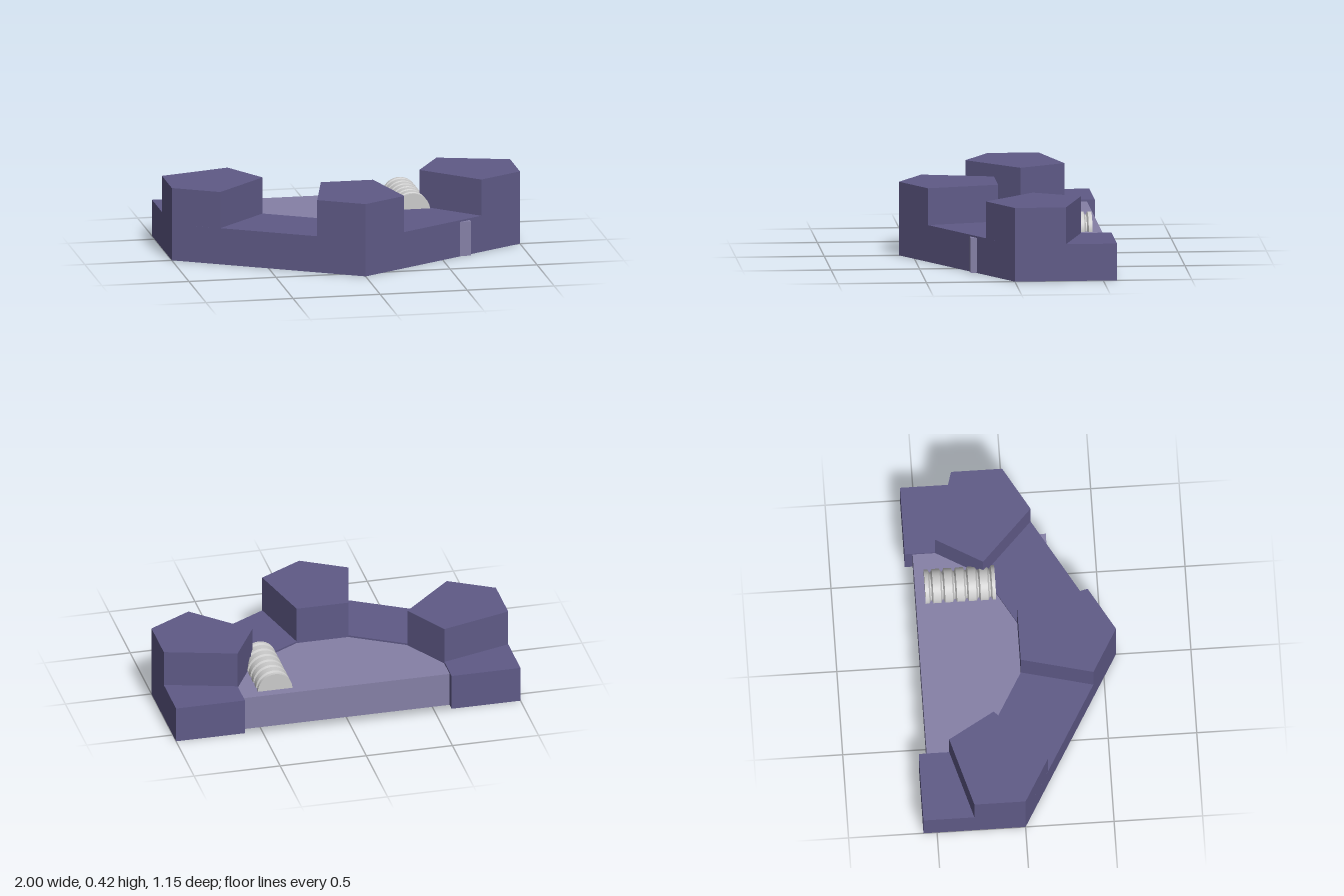
import * as THREE from 'three';

const mat = (color) => new THREE.MeshStandardMaterial({ color });
const wallMat = mat(0x5f5a87);
const floorMat = mat(0x8580a6);
const greyMat = mat(0xcccccc);

// Plan outlines are lists of [x, z]
const shapeOf = (pts, sign) => new THREE.Shape(pts.map(([x, z]) => new THREE.Vector2(x, sign * z)));
const mirror = (pts) => pts.map(([x, z]) => [-x, z]).reverse();

function prism(name, pts, y0, y1, material) {
  const geo = new THREE.ExtrudeGeometry(shapeOf(pts, -1), { depth: y1 - y0, bevelEnabled: false });
  geo.rotateX(-Math.PI / 2).translate(0, y0, 0);
  const mesh = new THREE.Mesh(geo, material);
  mesh.name = name;
  return mesh;
}

export function createModel() {
  const group = new THREE.Group();
  group.name = 'battlementCorner';
  const back = -0.577, wallTop = 0.21, merlonTop = 0.42;

  // Low angular wall, open at the back
  const outer = [[-1, back], [-1, 0], [0, 0.577], [1, 0], [1, back]];
  const inner = [[0.6, back], [0.6, -0.405], [0.45, -0.144], [0.15, 0.029],
    [-0.15, 0.029], [-0.45, -0.144], [-0.6, -0.405], [-0.6, back]];
  group.add(prism('wall', [...outer, ...inner], 0, wallTop, wallMat));

  // Merlons at the three outer corners
  const side = [[1, -0.289], [1, 0], [0.75, 0.144], [0.45, -0.144], [0.6, -0.405]];
  const middle = [[-0.25, 0.433], [0, 0.577], [0.25, 0.433], [0.15, 0.029], [-0.15, 0.029]];
  group.add(prism('leftMerlon', side, wallTop, merlonTop, wallMat));
  group.add(prism('rightMerlon', mirror(side), wallTop, merlonTop, wallMat));
  group.add(prism('frontMerlon', middle, wallTop, merlonTop, wallMat));

  // Underside sheet, facing down
  const under = new THREE.Mesh(new THREE.ShapeGeometry(shapeOf(outer, 1)).rotateX(Math.PI / 2), wallMat);
  under.name = 'underside';
  group.add(under);

  // Floor slab, one corner of which pokes through the wall
  const floor = new THREE.Mesh(new THREE.BoxGeometry(1.285, 0.198, 0.757), floorMat);
  floor.position.set(0.0325, 0.101, -0.1535);
  floor.name = 'floor';
  group.add(floor);

  // Grooved roller, half sunk in the floor
  const radius = 0.1, z0 = -0.478, z1 = -0.08, pitch = 0.0668;
  const profile = [[0, z0], [radius, z0]];
  for (let i = 0; i < 6; i++) {
    const z = -0.445 + i * pitch;
    profile.push([radius, z - 0.012], [radius - 0.018, z - 0.003], [radius - 0.018, z + 0.003], [radius, z + 0.012]);
  }
  profile.push([radius, z1], [0, z1]);
  // Each profile step is its own lathe so the edges stay sharp
  const roller = new THREE.Group();
  roller.name = 'roller';
  for (let i = 0; i < profile.length - 1; i++) {
    const pts = [profile[i], profile[i + 1]].map(([r, z]) => new THREE.Vector2(r, z));
    const ring = new THREE.Mesh(new THREE.LatheGeometry(pts, 40).rotateX(Math.PI / 2), greyMat);
    ring.name = 'rollerRing';
    roller.add(ring);
  }
  roller.position.set(0.4, 0.2, 0);
  group.add(roller);

  return group;
}
